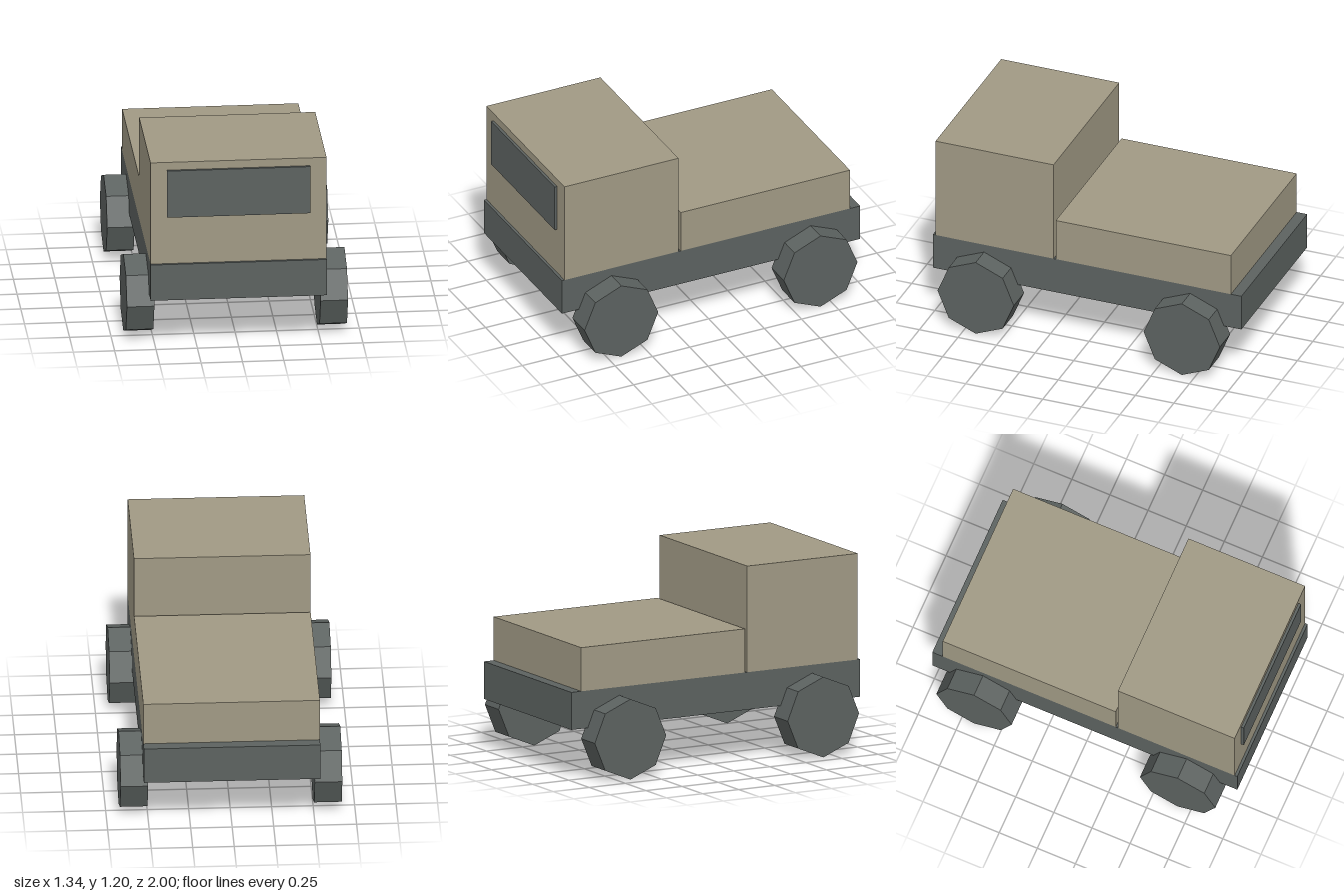
import * as THREE from 'three';

export function createModel() {
  const model = new THREE.Group();
  model.name = 'truck';

  const body = new THREE.MeshStandardMaterial({ color: 0xa09984 });
  body.name = 'sand body';
  const dark = new THREE.MeshStandardMaterial({ color: 0x5c6260, flatShading: true });
  dark.name = 'dark grey';

  // Box centred on x, given by its width and its y and z ranges
  function addBox(name, material, width, y0, y1, z0, z1) {
    const mesh = new THREE.Mesh(new THREE.BoxGeometry(width, y1 - y0, z1 - z0), material);
    mesh.position.set(0, (y0 + y1) / 2, (z0 + z1) / 2);
    mesh.name = name;
    model.add(mesh);
  }

  addBox('chassis', dark, 1.064, 0.315, 0.545, -1, 1);
  addBox('cab', body, 1.064, 0.545, 1.197, 0.218, 0.983);
  addBox('cargoBed', body, 1.064, 0.545, 0.813, -0.932, 0.203);
  addBox('windshield', dark, 0.865, 0.847, 1.147, 0.98, 1);

  // Eight-sided wheels with a corner pointing straight up
  const wheelGeometry = new THREE.CylinderGeometry(0.247, 0.247, 0.166, 8).rotateZ(Math.PI / 2);
  for (const [side, x] of [['Left', 0.585], ['Right', -0.585]]) {
    for (const [end, z] of [['front', 0.668], ['rear', -0.668]]) {
      const wheel = new THREE.Mesh(wheelGeometry, dark);
      wheel.position.set(x, 0.247, z);
      wheel.name = `${end}${side}Wheel`;
      model.add(wheel);
    }
  }

  return model;
}
